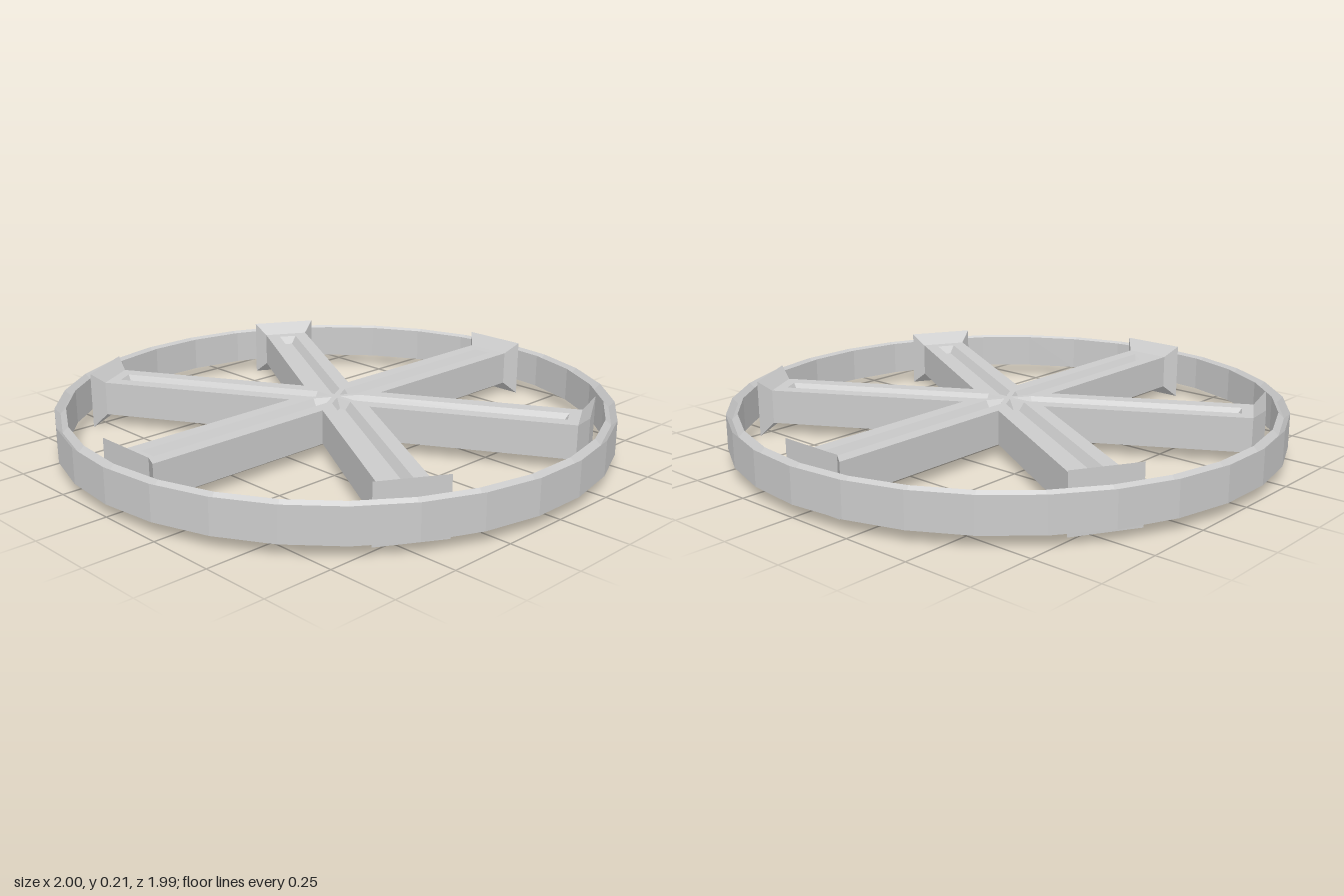
import * as THREE from 'three';

const SPOKES = 6;
const STEP = (Math.PI * 2) / SPOKES;
const LOW = 0.043, TOP = 0.168, FLOOR = 0.14;  // body heights
const HALF = 0.085, END = 0.875;               // spoke half width and length

const material = new THREE.MeshStandardMaterial({ color: 0xcccccc, flatShading: true });

function addMesh(parent, name, geometry) {
  const mesh = new THREE.Mesh(geometry, material);
  mesh.name = name;
  parent.add(mesh);
  return mesh;
}

// Skin between consecutive closed loops of [x, y, z] points
function loft(loops) {
  const pos = [];
  for (let k = 0; k < loops.length - 1; k++) {
    const a = loops[k], b = loops[k + 1];
    for (let i = 0; i < a.length; i++) {
      const j = (i + 1) % a.length;
      pos.push(...a[i], ...b[i], ...b[j], ...a[i], ...b[j], ...a[j]);
    }
  }
  const geometry = new THREE.BufferGeometry();
  geometry.setAttribute('position', new THREE.Float32BufferAttribute(pos, 3));
  geometry.computeVertexNormals();
  return geometry;
}

const atHeight = (loop, y) => loop.map(([x, z]) => [x, y, z]);

const turn = (loop, a) => loop.map(([x, z]) => [
  x * Math.cos(a) - z * Math.sin(a),
  x * Math.sin(a) + z * Math.cos(a),
]);

// Flat horizontal face, with optional holes, looking up or down
function flatFace(loop, y, up, holes = []) {
  const s = up ? -1 : 1;
  const points = (l) => l.map(([x, z]) => new THREE.Vector2(x, s * z));
  const shape = new THREE.Shape(points(loop));
  holes.forEach((h) => shape.holes.push(new THREE.Path(points(h))));
  return new THREE.ShapeGeometry(shape).rotateX(s * Math.PI / 2).translate(0, y, 0);
}

// Slot outline along +x, pointed towards the hub
function slotLoop(tip, end, half) {
  const shoulder = tip + half * Math.sqrt(3);
  return [[end, -half], [end, half], [shoulder, half], [tip, 0], [shoulder, -half]];
}

// Rectangle across a spoke
const endLoop = (x, half, y0, y1) => [[x, y0, half], [x, y1, half], [x, y1, -half], [x, y0, -half]];

export function createModel() {
  const model = new THREE.Group();
  model.name = 'wheel';

  // Outer ring with a V groove along its top
  const profile = [[0.96, LOW], [1, LOW], [1, TOP], [0.98, 0.148], [0.96, TOP], [0.96, LOW]]
    .map(([r, y]) => new THREE.Vector2(r, y));
  addMesh(model, 'rim', new THREE.LatheGeometry(profile, 30, Math.PI / 2));

  // Six-armed star body
  const star = [], slots = [];
  const outline = slotLoop(0.02, 0.835, 0.034);
  const inset = slotLoop(0.06, 0.815, 0.014);
  const crotch = HALF / Math.sin(STEP / 2);
  for (let i = 0; i < SPOKES; i++) {
    const arm = [[END, -HALF], [END, HALF],
      [crotch * Math.cos(STEP / 2), crotch * Math.sin(STEP / 2)]];
    star.push(...turn(arm, i * STEP));
    slots.push(turn(outline, i * STEP));
  }
  const body = new THREE.Group();
  body.name = 'spokes';
  model.add(body);
  addMesh(body, 'spokeSides', loft([atHeight(star, LOW), atHeight(star, TOP)]));
  addMesh(body, 'spokeTop', flatFace(star, TOP, true, slots));
  addMesh(body, 'spokeUnderside', flatFace(star, LOW, false));

  // Sunken slot and flared foot on every spoke
  const slotWalls = loft([atHeight(outline, TOP), atHeight(inset, FLOOR)]);
  const slotFloor = flatFace(inset, FLOOR, true);
  const foot = loft([
    endLoop(END, HALF, LOW, TOP),
    endLoop(0.915, 0.123, 0, 0.21),
    endLoop(0.915, 0, 0.105, 0.105),
  ]);
  for (let i = 0; i < SPOKES; i++) {
    const spoke = new THREE.Group();
    spoke.name = 'spokeDetail' + (i + 1);
    spoke.rotation.y = -i * STEP;
    addMesh(spoke, 'slotWalls', slotWalls);
    addMesh(spoke, 'slotFloor', slotFloor);
    addMesh(spoke, 'flaredFoot', foot);
    model.add(spoke);
  }
  return model;
}
